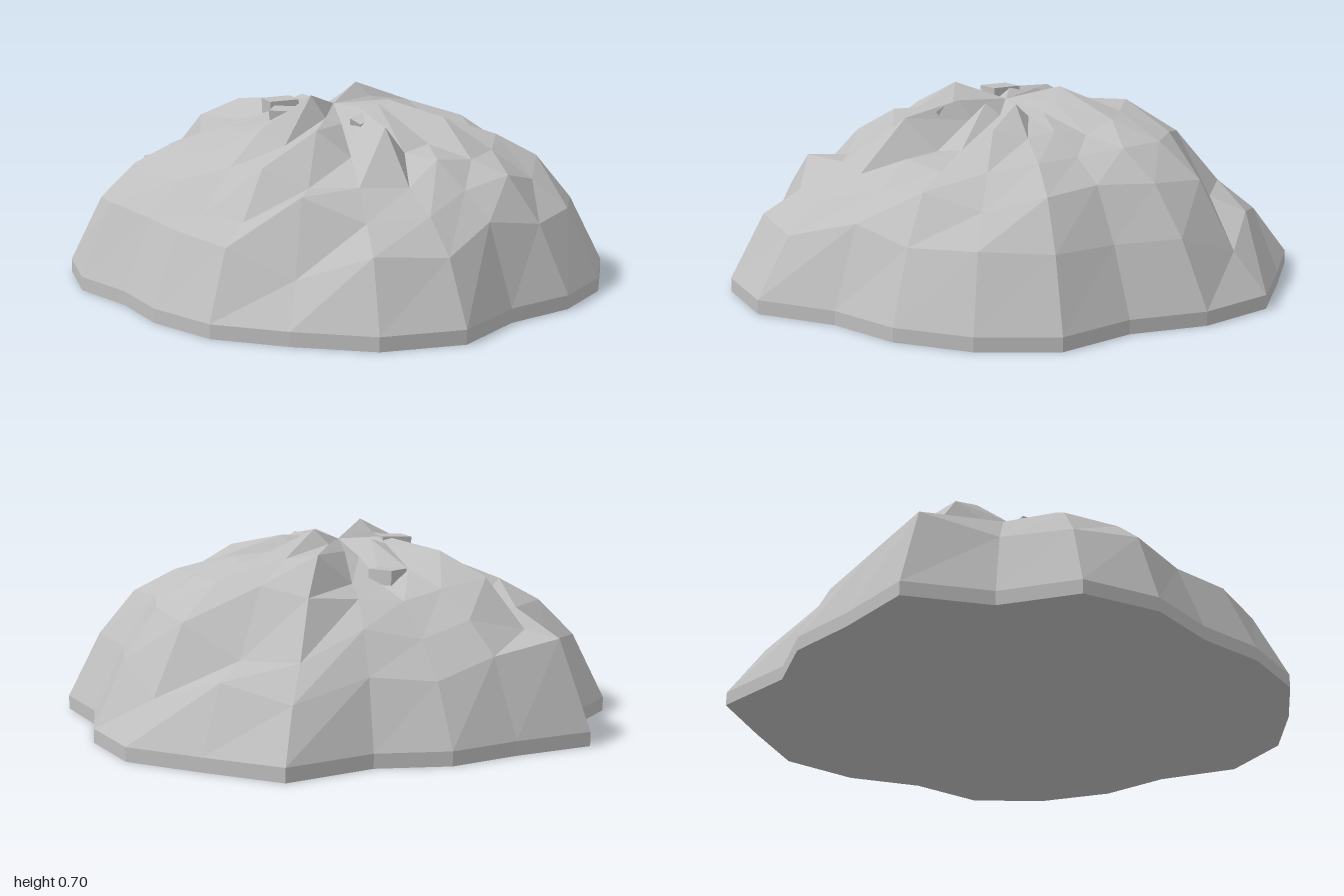
import * as THREE from 'three';

const SIDES = 22;
const CENTRE = { x: -0.01, z: -0.03 };

// Plan outline: radius of each spoke, starting at +x and turning towards +z
const outline = [0.91, 1.01, 1.0, 0.97, 0.92, 1.04, 1.04, 0.98, 0.97, 0.92, 0.87,
  0.95, 0.99, 0.89, 1.03, 0.92, 0.92, 0.88, 1.065, 1.02, 1.05, 0.99];

// Rings from the underside over the rim to the summit: scale of the outline, and height (one or per spoke)
const rings = [
  { scale: 0, y: 0 },
  { scale: 1, y: 0 },
  { scale: 1, y: 0.05 },
  { scale: 0.88, y: [0.28, 0.29, 0.3, 0.29, 0.33, 0.26, 0.28, 0.19, 0.28, 0.3, 0.3,
    0.32, 0.29, 0.3, 0.36, 0.32, 0.26, 0.28, 0.22, 0.27, 0.19, 0.28] },
  { scale: 0.75, y: [0.46, 0.45, 0.4, 0.45, 0.42, 0.37, 0.36, 0.44, 0.34, 0.335, 0.42,
    0.42, 0.42, 0.42, 0.38, 0.43, 0.38, 0.42, 0.33, 0.32, 0.43, 0.45] },
  { scale: 0.6, y: [0.53, 0.53, 0.5, 0.49, 0.51, 0.44, 0.45, 0.44, 0.5, 0.48, 0.51,
    0.5, 0.5, 0.43, 0.55, 0.52, 0.49, 0.5, 0.52, 0.55, 0.55, 0.55] },
  { scale: 0.42, y: [0.59, 0.58, 0.61, 0.53, 0.51, 0.62, 0.52, 0.61, 0.55, 0.6, 0.57,
    0.57, 0.56, 0.57, 0.63, 0.57, 0.52, 0.53, 0.64, 0.62, 0.61, 0.57] },
  { scale: 0.2, y: [0.61, 0.66, 0.62, 0.66, 0.59, 0.66, 0.6, 0.62, 0.7, 0.66, 0.62,
    0.64, 0.62, 0.66, 0.64, 0.66, 0.6, 0.62, 0.65, 0.7, 0.65, 0.62] },
  { scale: 0, y: 0.645 },
];

function ringPoint(ring, k) {
  const i = k % SIDES;
  const angle = (i / SIDES) * Math.PI * 2;
  const r = outline[i] * ring.scale;
  const y = Array.isArray(ring.y) ? ring.y[i] : ring.y;
  return [CENTRE.x + r * Math.cos(angle), y, CENTRE.z + r * Math.sin(angle)];
}

// Faceted skin; every quad is split along the same diagonal for the swirling facets
function moundGeometry() {
  const positions = [];
  for (let j = 0; j < rings.length - 1; j++) {
    for (let k = 0; k < SIDES; k++) {
      const a = ringPoint(rings[j], k);
      const b = ringPoint(rings[j], k + 1);
      const c = ringPoint(rings[j + 1], k);
      const d = ringPoint(rings[j + 1], k + 1);
      if (rings[j].scale > 0) positions.push(...a, ...c, ...b);
      if (rings[j + 1].scale > 0) positions.push(...b, ...c, ...d);
    }
  }
  const geometry = new THREE.BufferGeometry();
  geometry.setAttribute('position', new THREE.Float32BufferAttribute(positions, 3));
  geometry.computeVertexNormals();
  return geometry;
}

export function createModel() {
  const group = new THREE.Group();
  group.name = 'rubbleMound';
  const stone = new THREE.MeshStandardMaterial({ color: 0xbfbfbf, flatShading: true });
  stone.name = 'stone grey';

  const mound = new THREE.Mesh(moundGeometry(), stone);
  mound.name = 'mound';
  group.add(mound);

  // Loose blocks half sunk near the summit: size, position, rotation
  const blocks = [
    { size: [0.09, 0.07, 0.1], at: [-0.095, 0.54, -0.37], turn: [0, 0.62, 0] },
    { size: [0.11, 0.06, 0.11], at: [-0.195, 0.63, -0.1], turn: [0, 0.05, 0.04] },
    { size: [0.1, 0.06, 0.08], at: [-0.205, 0.61, 0.01], turn: [0.1, -0.5, 0.05] },
    { size: [0.06, 0.06, 0.06], at: [0.015, 0.605, 0.25], turn: [0.3, 0.4, 0.2] },
  ];
  blocks.forEach(({ size, at, turn }, i) => {
    const block = new THREE.Mesh(new THREE.BoxGeometry(...size), stone);
    block.name = `looseBlock${i + 1}`;
    block.position.set(...at);
    block.rotation.set(...turn);
    group.add(block);
  });

  return group;
}
